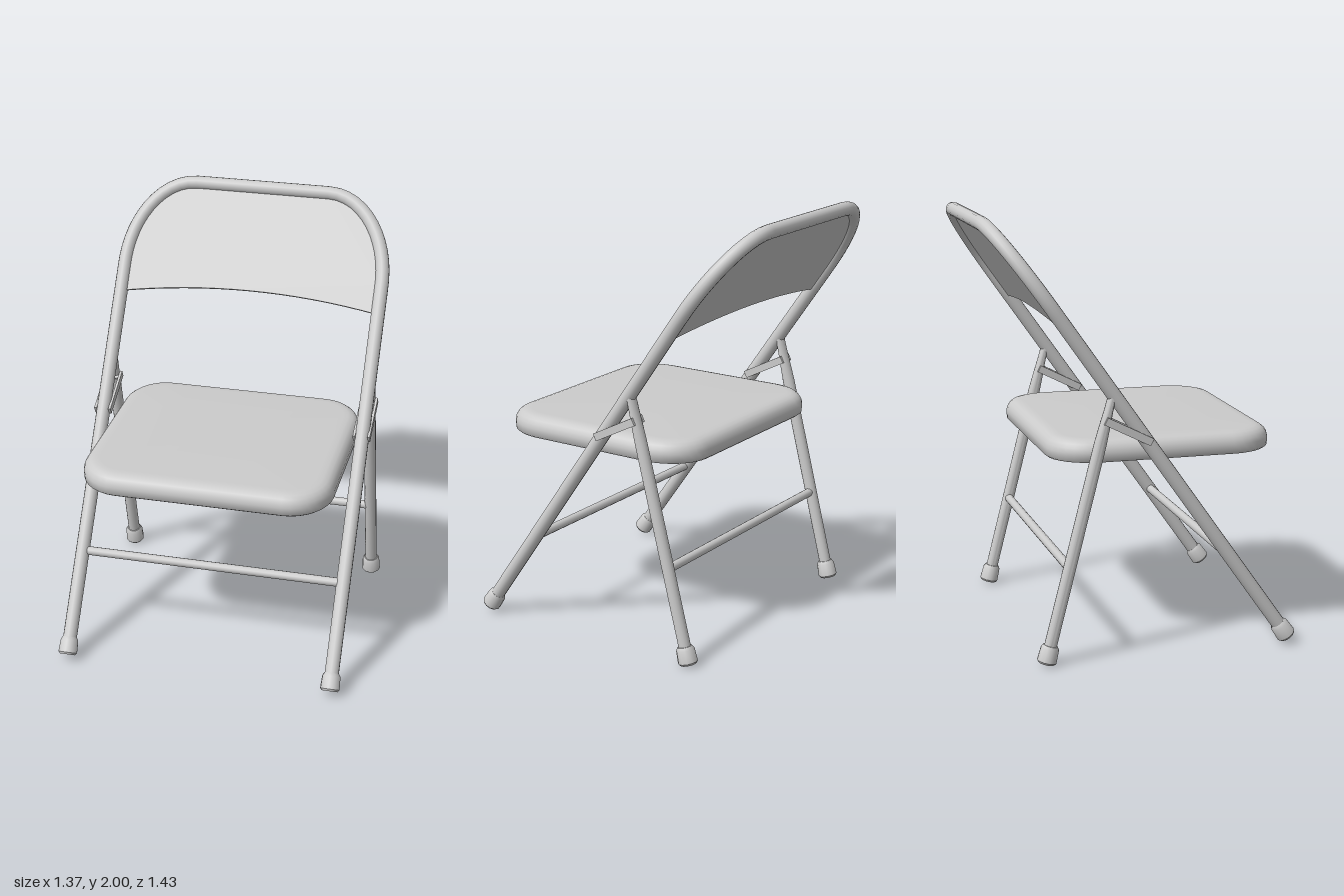
import * as THREE from 'three';
import { toCreasedNormals } from 'three/addons/utils/BufferGeometryUtils.js';

const grey = new THREE.MeshStandardMaterial({ color: 0xcccccc });
const LEG_X = 0.638;

function add(parent, name, geometry, x = 0, y = 0, z = 0) {
  const mesh = new THREE.Mesh(geometry, grey);
  mesh.name = name;
  mesh.position.set(x, y, z);
  parent.add(mesh);
  return mesh;
}

// Horizontal round bar between the two legs
function crossbar(parent, name, y) {
  add(parent, name, new THREE.CylinderGeometry(0.021, 0.021, 2 * LEG_X, 12), 0, y, 0).rotation.z = Math.PI / 2;
}

// Rubber cap on the end of a leg
function footGeometry() {
  const profile = [[0, -0.045], [0.038, -0.045], [0.046, -0.035], [0.043, 0.025], [0.034, 0.04], [0, 0.04]];
  const lathe = new THREE.LatheGeometry(profile.map(([r, y]) => new THREE.Vector2(r, y)), 12);
  return toCreasedNormals(lathe, 0.7);
}

// Bent tube with the back panel, drawn upright and then leaned back
function buildFrontFrame() {
  const frame = new THREE.Group();
  frame.name = 'frontFrame';
  const top = 2.32, rx = 0.31, ry = 0.43, k = 0.55;
  const v = (x, y) => new THREE.Vector3(x, y, 0);
  const xi = LEG_X - rx, yi = top - ry;
  const path = new THREE.CurvePath();
  path.add(new THREE.LineCurve3(v(-LEG_X, 0), v(-LEG_X, yi)));
  path.add(new THREE.CubicBezierCurve3(v(-LEG_X, yi), v(-LEG_X, yi + k * ry), v(-xi - k * rx, top), v(-xi, top)));
  path.add(new THREE.LineCurve3(v(-xi, top), v(xi, top)));
  path.add(new THREE.CubicBezierCurve3(v(xi, top), v(xi + k * rx, top), v(LEG_X, yi + k * ry), v(LEG_X, yi)));
  path.add(new THREE.LineCurve3(v(LEG_X, yi), v(LEG_X, 0)));
  add(frame, 'frameTube', new THREE.TubeGeometry(path, 120, 0.033, 14));

  // Sheet filling the arch, with an arched lower edge
  const panel = new THREE.Shape();
  panel.moveTo(-LEG_X, 1.745);
  panel.quadraticCurveTo(0, 1.86, LEG_X, 1.745);
  panel.lineTo(LEG_X, yi);
  panel.bezierCurveTo(LEG_X, yi + k * ry, xi + k * rx, top, xi, top);
  panel.lineTo(-xi, top);
  panel.bezierCurveTo(-xi - k * rx, top, -LEG_X, yi + k * ry, -LEG_X, yi);
  panel.closePath();
  const sheet = new THREE.ExtrudeGeometry(panel, { depth: 0.016, bevelEnabled: false, curveSegments: 16 });
  add(frame, 'backPanel', sheet, 0, 0, -0.008);

  for (const s of [-1, 1]) add(frame, 'frontFoot', footGeometry(), s * LEG_X);
  crossbar(frame, 'frontCrossbar', 0.46);
  frame.position.set(0, 0.07, 0.655);
  frame.rotation.x = -0.613;
  return frame;
}

// Pair of rear legs, pinched flat at the top where they meet the frame
function buildRearFrame() {
  const frame = new THREE.Group();
  frame.name = 'rearFrame';
  const length = 1.215;
  for (const s of [-1, 1]) {
    const leg = new THREE.CylinderGeometry(0.029, 0.029, length, 14, 16);
    leg.translate(0, length / 2, 0);
    const p = leg.attributes.position;
    for (let i = 0; i < p.count; i++) {
      const t = THREE.MathUtils.smoothstep(p.getY(i), length - 0.25, length);
      p.setZ(i, p.getZ(i) * (1 - 0.4 * t));
    }
    add(frame, 'rearLeg', toCreasedNormals(leg, 0.7), s * LEG_X);
    add(frame, 'rearFoot', footGeometry(), s * LEG_X);
  }
  crossbar(frame, 'rearCrossbar', 0.405);
  frame.position.set(0, 0.055, -0.465);
  frame.rotation.x = 0.249;
  return frame;
}

// Outline of the seat, inset by d, at height y
function seatRing(d, y, steps = 8) {
  const ring = [], w = 0.59, h = 0.532, rx = 0.2, rz = 0.22;
  const corners = [[1, 1], [-1, 1], [-1, -1], [1, -1]];
  corners.forEach(([sx, sz], q) => {
    for (let i = 0; i <= steps; i++) {
      const a = (q + i / steps) * Math.PI / 2;
      ring.push([sx * (w - rx) + (rx - d) * Math.cos(a), y, sz * (h - rz) + (rz - d) * Math.sin(a)]);
    }
  });
  return ring;
}

// Pressed seat pan: domed edge on top, rolled lip and hollow underneath
function seatGeometry() {
  const section = [
    [0.07, 0.965], [0.06, 0.94], [0.05, 0.922], [0.035, 0.911], [0.012, 0.91], [0.002, 0.918],
    [0, 0.955], [0.005, 0.975], [0.016, 0.992], [0.032, 1.004], [0.055, 1.01], [0.08, 1.011],
  ];
  const rings = section.map(([d, y]) => seatRing(d, y));
  const n = rings[0].length, last = rings.length - 1;
  const positions = [];
  const tri = (a, b, c) => positions.push(...a, ...b, ...c);
  for (let j = 0; j < n; j++) {
    const m = (j + 1) % n;
    for (let i = 0; i < last; i++) {
      tri(rings[i][j], rings[i + 1][j], rings[i + 1][m]);
      tri(rings[i][j], rings[i + 1][m], rings[i][m]);
    }
    tri([0, section[0][1], 0], rings[0][j], rings[0][m]);
    tri(rings[last][j], [0, section[last][1], 0], rings[last][m]);
  }
  const geometry = new THREE.BufferGeometry();
  geometry.setAttribute('position', new THREE.Float32BufferAttribute(positions, 3));
  return toCreasedNormals(geometry, 0.9);
}

export function createModel() {
  const chair = new THREE.Group();
  chair.name = 'foldingChair';
  chair.add(buildFrontFrame(), buildRearFrame());
  add(chair, 'seat', seatGeometry(), 0, 0, 0.113);

  // Folding links on both faces of each leg pair
  for (const s of [-1, 1]) {
    for (const x of [0.602, 0.672]) {
      const link = add(chair, 'foldingLink', new THREE.BoxGeometry(0.012, 0.036, 0.238), s * x, 1.065, -0.098);
      link.rotation.x = 0.47;
    }
    // Rivets holding the links
    for (const [y, z] of [[1.025, -0.02], [1.107, -0.18]]) {
      add(chair, 'linkRivet', new THREE.CylinderGeometry(0.01, 0.01, 0.08, 10), s * 0.637, y, z).rotation.z = Math.PI / 2;
    }
  }
  return chair;
}
